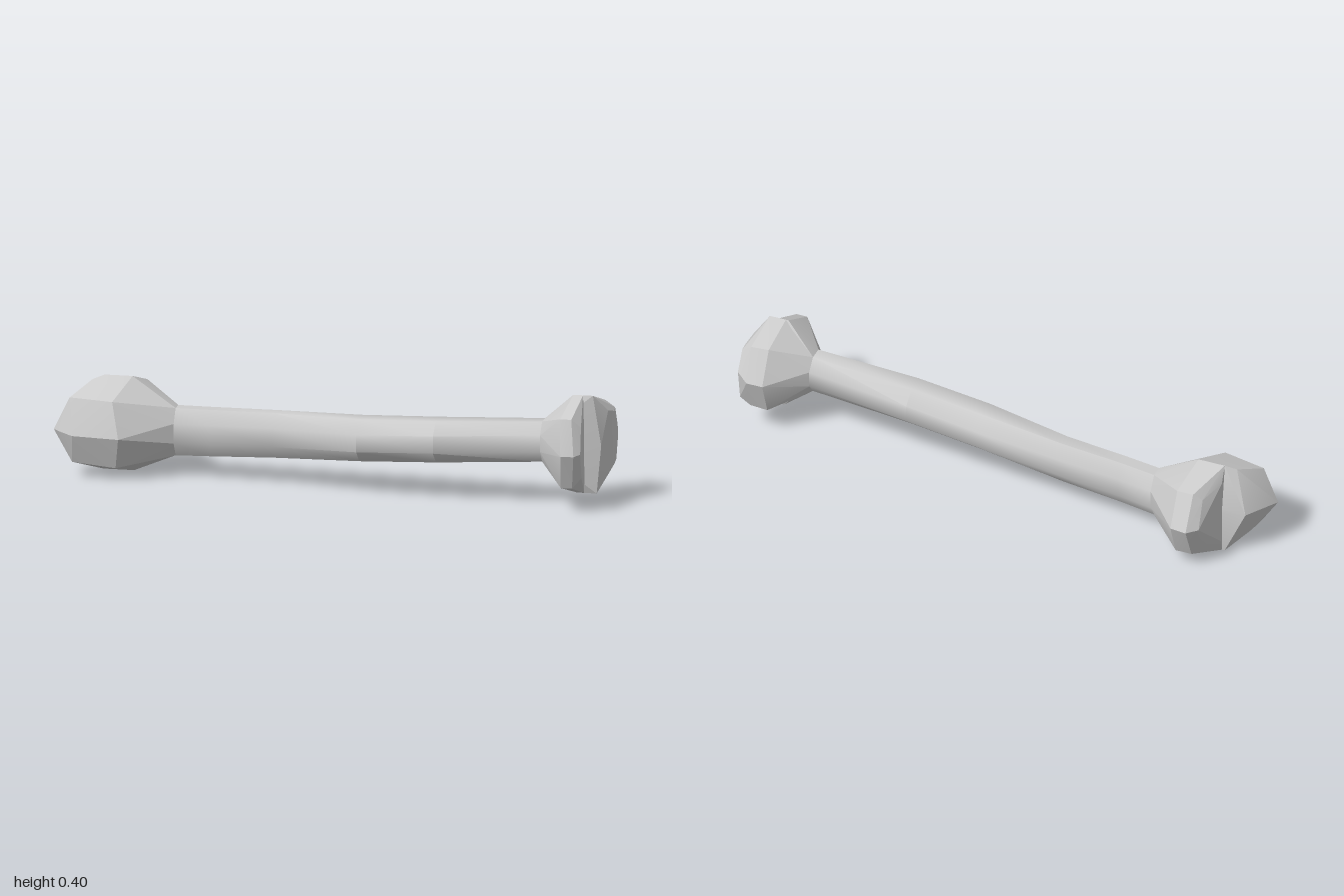
import * as THREE from 'three';
import { toCreasedNormals } from 'three/addons/utils/BufferGeometryUtils.js';
import { ConvexGeometry } from 'three/addons/geometries/ConvexGeometry.js';

const material = new THREE.MeshStandardMaterial({ color: 0xcccccc });
const SIDES = 8;

// Eight-sided cross-section of the shaft: x, bottom, top, back, front
function section([x, y0, y1, z0, z1]) {
  const grow = 1 / Math.cos(Math.PI / SIDES);
  return Array.from({ length: SIDES }, (_, k) => {
    const a = ((k + 0.5) / SIDES) * Math.PI * 2;
    return new THREE.Vector3(
      x,
      (y0 + y1) / 2 + ((y1 - y0) / 2) * Math.cos(a) * grow,
      (z0 + z1) / 2 + ((z1 - z0) / 2) * Math.sin(a) * grow
    );
  });
}

// Skin a row of cross-sections
function loft(rings) {
  const index = [];
  for (let i = 0; i < rings.length - 1; i++) {
    for (let k = 0; k < SIDES; k++) {
      const a = i * SIDES + k, b = i * SIDES + ((k + 1) % SIDES);
      index.push(a, b, b + SIDES, a, b + SIDES, a + SIDES);
    }
  }
  const geometry = new THREE.BufferGeometry().setFromPoints(rings.flat());
  geometry.setIndex(index);
  return geometry;
}

function createMesh(name, geometry, crease) {
  const mesh = new THREE.Mesh(toCreasedNormals(geometry, crease), material);
  mesh.name = name;
  return mesh;
}

// Faceted knob that grows out of one end of the shaft
function condyle(name, neck, corners) {
  const points = corners.map((c) => new THREE.Vector3(...c));
  return createMesh(name, new ConvexGeometry([...neck, ...points]), 0.3);
}

export function createModel() {
  const group = new THREE.Group();
  group.name = 'bone';

  // Slightly bowed shaft
  const rings = [
    [-0.58, 0.08, 0.25, -0.10, 0.01],
    [-0.45, 0.087, 0.254, -0.083, 0.025],
    [-0.22, 0.1, 0.26, -0.066, 0.05],
    [0.1, 0.12, 0.27, -0.04, 0.13],
    [0.38, 0.137, 0.285, -0.012, 0.155],
    [0.76, 0.16, 0.305, 0.02, 0.14],
  ].map(section);
  group.add(createMesh('shaft', loft(rings), 0.85));
  const rightNeck = rings[0], leftNeck = rings[rings.length - 1];

  // Paired knobs at the +x end, split by a vertical groove
  group.add(condyle('leftFrontCondyle', leftNeck, [
    [0.87, 0.405, 0.098], [0.905, 0.405, 0.098],
    [0.85, 0.345, 0.22], [0.89, 0.345, 0.22],
    [0.86, 0.22, 0.263], [0.905, 0.22, 0.255],
    [0.85, 0.095, 0.21], [0.89, 0.095, 0.21],
    [0.88, 0.05, 0.082], [0.905, 0.05, 0.082],
    [0.92, 0.315, 0.2], [0.92, 0.335, 0.155], [0.925, 0.225, 0.235],
    [0.92, 0.13, 0.193], [0.92, 0.12, 0.145],
  ]));
  group.add(condyle('leftBackCondyle', leftNeck, [
    [0.88, 0.405, 0.098], [0.94, 0.405, 0.098],
    [0.89, 0.36, -0.035], [0.955, 0.358, -0.038],
    [0.89, 0.24, -0.095], [0.95, 0.24, -0.095],
    [0.89, 0.11, -0.048], [0.955, 0.112, -0.045],
    [0.89, 0.05, 0.082], [0.95, 0.05, 0.082], [0.968, 0.225, 0.09],
    [0.985, 0.345, 0.055], [0.995, 0.33, 0],
    [0.99, 0.335, -0.035], [0.99, 0.265, -0.075], [1, 0.24, -0.04],
    [0.99, 0.145, -0.055], [0.995, 0.14, -0.005], [0.985, 0.12, 0.045],
  ]));

  // Paired knobs at the -x end, the front one reaching further out
  group.add(condyle('rightBackCondyle', rightNeck, [
    [-0.74, 0.35, -0.05], [-0.84, 0.35, -0.05],
    [-0.72, 0.305, -0.195], [-0.78, 0.305, -0.195],
    [-0.72, 0.185, -0.258], [-0.78, 0.185, -0.265],
    [-0.72, 0.06, -0.21], [-0.78, 0.06, -0.21],
    [-0.74, 0.005, -0.075], [-0.84, 0.005, -0.075],
    [-0.81, 0.28, -0.18], [-0.815, 0.185, -0.23],
    [-0.81, 0.09, -0.19], [-0.845, 0.3, -0.09], [-0.845, 0.06, -0.1],
  ]));
  group.add(condyle('rightFrontCondyle', rightNeck, [
    [-0.74, 0.35, -0.05], [-0.84, 0.35, -0.05], [-0.88, 0.335, -0.035],
    [-0.78, 0.29, 0.1], [-0.94, 0.29, 0.065],
    [-0.75, 0.165, 0.14], [-0.92, 0.165, 0.12],
    [-0.77, 0.05, 0.09], [-0.93, 0.06, 0.07],
    [-0.74, 0.005, -0.075], [-0.85, 0.005, -0.075],
    [-0.93, 0.18, -0.08], [-1, 0.17, 0.05], [-0.97, 0.17, 0.085],
    [-0.94, 0.27, -0.01], [-0.93, 0.08, -0.02],
  ]));

  return group;
}
